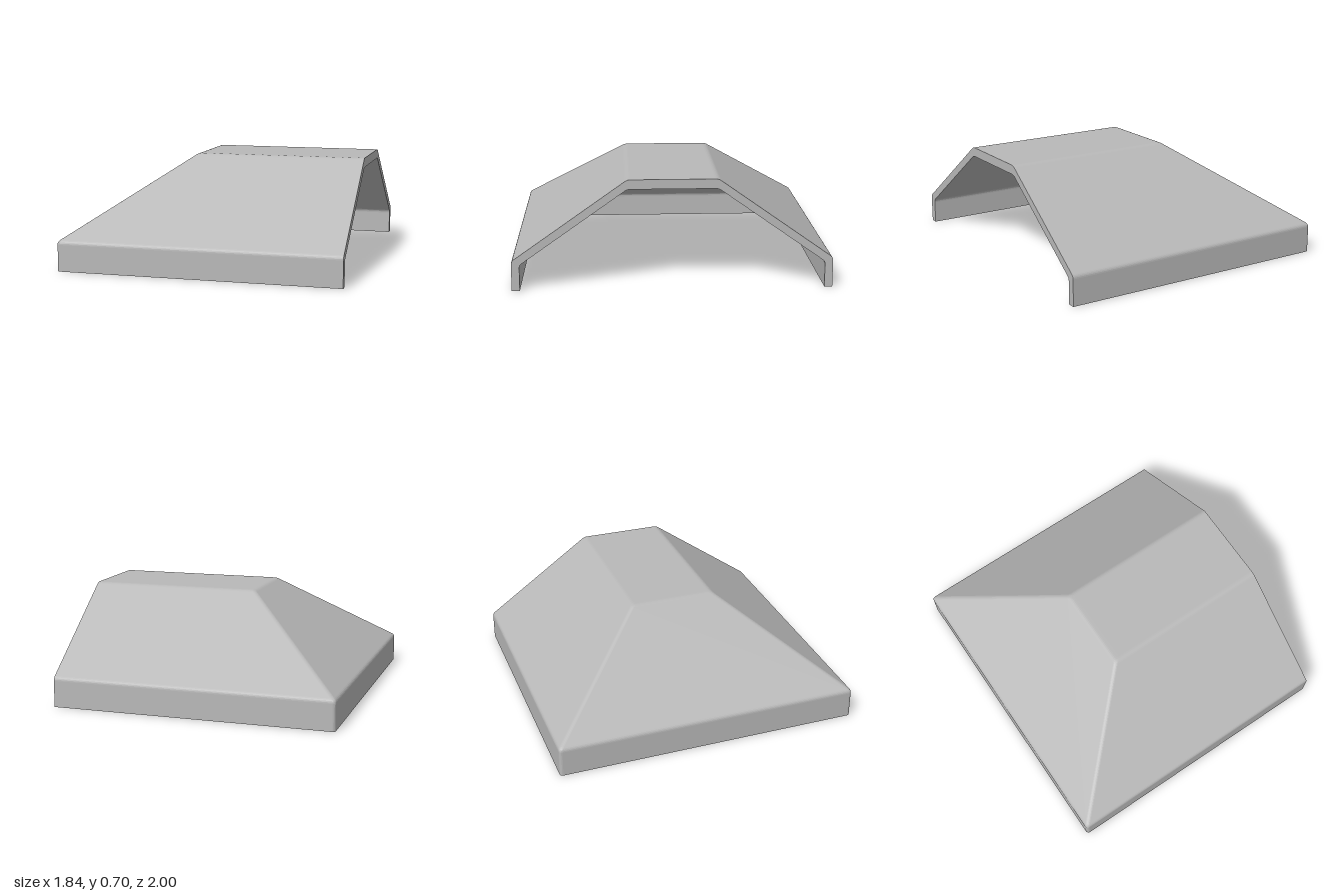
import * as THREE from 'three';

const END_X = 0.92; // open end of the hood

// Height profile as [inset, y], with softened eave and ridge bends
function profile(inset, eaveY, topY) {
  const base = new THREE.Vector2(inset, 0);
  const eave = new THREE.Vector2(inset, eaveY);
  const top = new THREE.Vector2(0.72, topY);
  const flat = new THREE.Vector2(0.74, topY);
  const slope = top.clone().sub(eave).normalize();
  const bend = (a, b, c) => new THREE.QuadraticBezierCurve(a, b, c).getPoints(4);
  return [
    base,
    ...bend(new THREE.Vector2(inset, eaveY - 0.018), eave, eave.clone().addScaledVector(slope, 0.018)),
    ...bend(top.clone().addScaledVector(slope, -0.018), top, flat),
  ];
}

// U-shaped plan section with two rounded corners, from front end to back end
function section({ x: inset, y }) {
  const r = 0.02, x = -END_X + inset, z = 1 - inset;
  const half = [new THREE.Vector3(END_X, y, z)];
  for (let i = 0; i <= 4; i++) {
    const a = (i / 4) * Math.PI / 2;
    half.push(new THREE.Vector3(x + r - r * Math.sin(a), y, z - r + r * Math.cos(a)));
  }
  const mirrored = half.map(p => new THREE.Vector3(p.x, p.y, -p.z)).reverse();
  return [...half, ...mirrored];
}

function makeMesh(name, material, build) {
  const points = [];
  const quad = (a, b, c, d) => points.push(a, b, c, a, c, d);
  build(quad);
  const geometry = new THREE.BufferGeometry().setFromPoints(points);
  geometry.computeVertexNormals();
  const mesh = new THREE.Mesh(geometry, material);
  mesh.name = name;
  return mesh;
}

// Walls, slopes and flat top of one skin
function skin(rings, inward) {
  return quad => {
    const put = (a, b, c, d) => (inward ? quad(d, c, b, a) : quad(a, b, c, d));
    const n = rings[0].length;
    for (let k = 0; k < rings.length - 1; k++) {
      const lo = rings[k], hi = rings[k + 1];
      for (let j = 0; j < n - 1; j++) put(lo[j], hi[j], hi[j + 1], lo[j + 1]);
    }
    const cap = rings[rings.length - 1];
    for (let i = 0; i < n / 2 - 1; i++) put(cap[i], cap[n - 1 - i], cap[n - 2 - i], cap[i + 1]);
  };
}

export function createModel() {
  const group = new THREE.Group();
  group.name = 'hood';
  const grey = new THREE.MeshStandardMaterial({ color: 0xb8b8b8 });
  grey.name = 'grey';

  const outer = profile(0, 0.19, 0.7).map(section);
  const inner = profile(0.05, 0.165, 0.64).map(section);
  const last = outer[0].length - 1, top = outer.length - 1;

  group.add(makeMesh('outerSkin', grey, skin(outer, false)));
  group.add(makeMesh('innerSkin', grey, skin(inner, true)));

  // Underside of the walls
  group.add(makeMesh('bottomRim', grey, quad => {
    const o = outer[0], i = inner[0];
    for (let j = 0; j < last; j++) quad(o[j], o[j + 1], i[j + 1], i[j]);
  }));

  // Edge of the shell around the open end
  group.add(makeMesh('openEndRim', grey, quad => {
    for (let k = 0; k < top; k++) {
      quad(outer[k][0], inner[k][0], inner[k + 1][0], outer[k + 1][0]);
      quad(outer[k + 1][last], inner[k + 1][last], inner[k][last], outer[k][last]);
    }
    quad(outer[top][0], inner[top][0], inner[top][last], outer[top][last]);
  }));

  return group;
}
